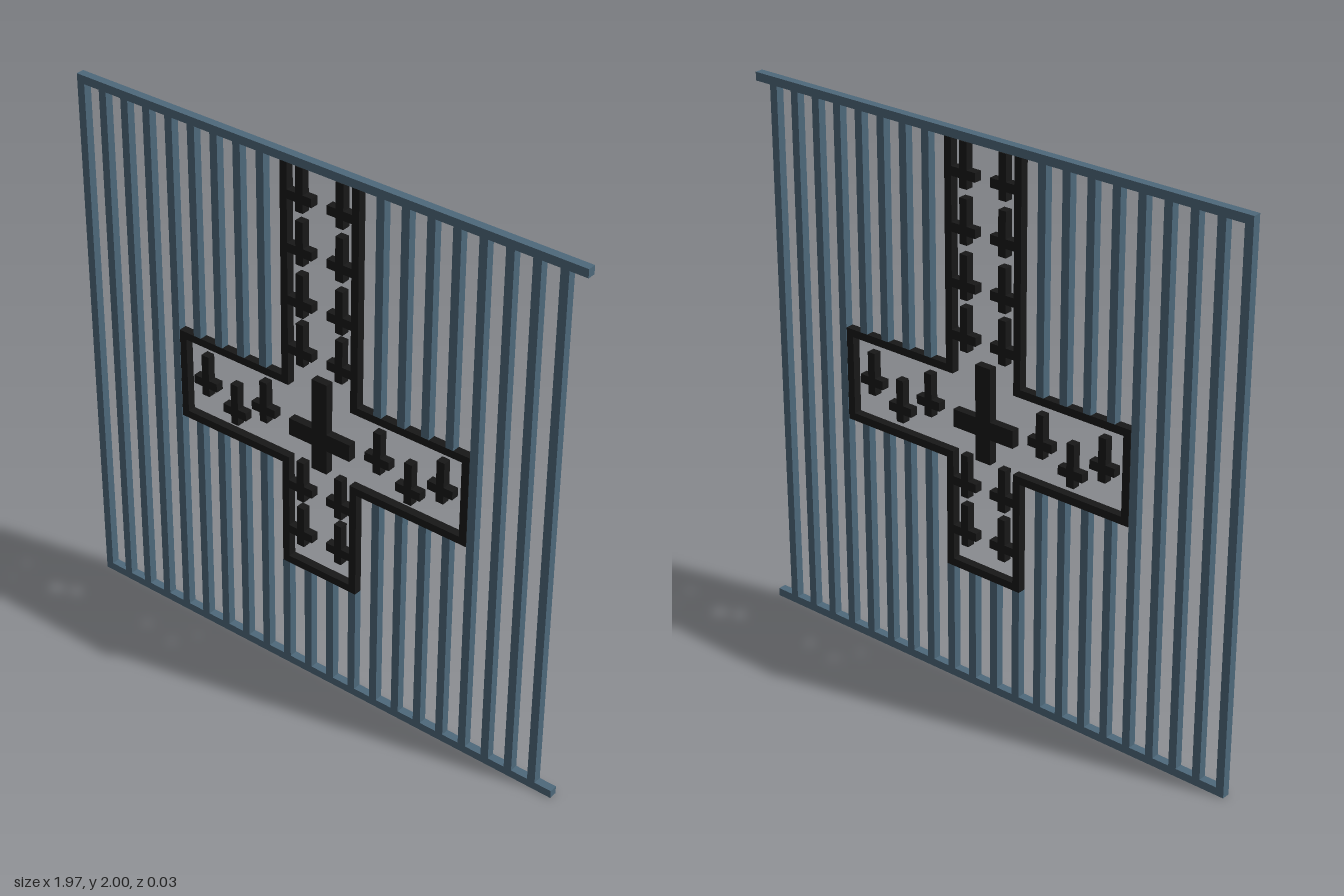
import * as THREE from 'three';

const DEPTH = 0.03, WIDTH = 0.03, TOP = 1.97;
const CX = 0.015; // centre line of the cross opening

export function createModel() {
  const model = new THREE.Group();
  const steel = new THREE.MeshStandardMaterial({ color: 0x4e697b });
  steel.name = 'blue grey steel';
  const black = new THREE.MeshStandardMaterial({ color: 0x181818 });
  black.name = 'black iron';

  // Box given by its extents in x and y, centred on z = 0
  function slab(name, material, x0, x1, y0, y1, parent = model) {
    const mesh = new THREE.Mesh(new THREE.BoxGeometry(x1 - x0, y1 - y0, DEPTH), material);
    mesh.position.set((x0 + x1) / 2, (y0 + y1) / 2, 0);
    mesh.name = name;
    parent.add(mesh);
  }

  // Outline of the cross, open at the top, inset by t
  function outline(t) {
    const a = 0.155 - t, b = 0.593 - t, hi = 1.188 - t, lo = 0.847 + t, end = 0.44 + t;
    const half = [[a, TOP], [a, hi], [b, hi], [b, lo], [a, lo], [a, end]];
    const left = half.map(([x, y]) => [-x, y]);
    return [...left, ...half.reverse()].map(([x, y]) => new THREE.Vector2(x + CX, y));
  }

  // Top and bottom rails
  slab('topRail', steel, -0.985, 0.985, TOP, 2);
  slab('bottomRail', steel, -0.985, 0.985, 0, WIDTH);

  // Upright bars, interrupted by the cross opening
  for (let i = 0; i < 21; i++) {
    const x = -0.97 + i * 0.0938, d = Math.abs(x - CX);
    const bar = (y0, y1) => slab('bar', steel, x - WIDTH / 2, x + WIDTH / 2, y0, y1);
    if (d < 0.16) bar(WIDTH, 0.44);
    else if (d < 0.59) {
      bar(WIDTH, 0.847);
      bar(1.188, TOP);
    } else bar(WIDTH, TOP);
  }

  // Black border around the open cross
  const rim = new THREE.Shape([...outline(0), ...outline(0.028).reverse()]);
  const border = new THREE.Mesh(new THREE.ExtrudeGeometry(rim, { depth: DEPTH, bevelEnabled: false }), black);
  border.name = 'crossBorder';
  border.position.z = -DEPTH / 2;
  model.add(border);

  // Cross of three boxes: half widths, arm reach and extents about the crossbar
  function cross(name, x, y, halfWidth, halfBar, reach, down, up) {
    const group = new THREE.Group();
    group.name = name;
    model.add(group);
    slab('upright', black, x - halfWidth, x + halfWidth, y - down, y + up, group);
    slab('leftArm', black, x + halfWidth, x + reach, y - halfBar, y + halfBar, group);
    slab('rightArm', black, x - reach, x - halfWidth, y - halfBar, y + halfBar, group);
  }

  // Large central cross and the small inverted crosses around it
  cross('centralCross', CX, 1, 0.031, 0.032, 0.125, 0.124, 0.222);
  const smallCross = (x, y) => cross('smallCross', x, y, 0.015, 0.016, 0.049, 0.048, 0.108);
  for (const side of [-1, 1]) {
    for (const y of [1.86, 1.672, 1.482, 1.3, 0.767, 0.582]) smallCross(CX + side * 0.079, y);
    for (const [dx, y] of [[0.235, 1.018], [0.36, 0.955], [0.485, 1.018]]) smallCross(CX + side * dx, y);
  }

  return model;
}
